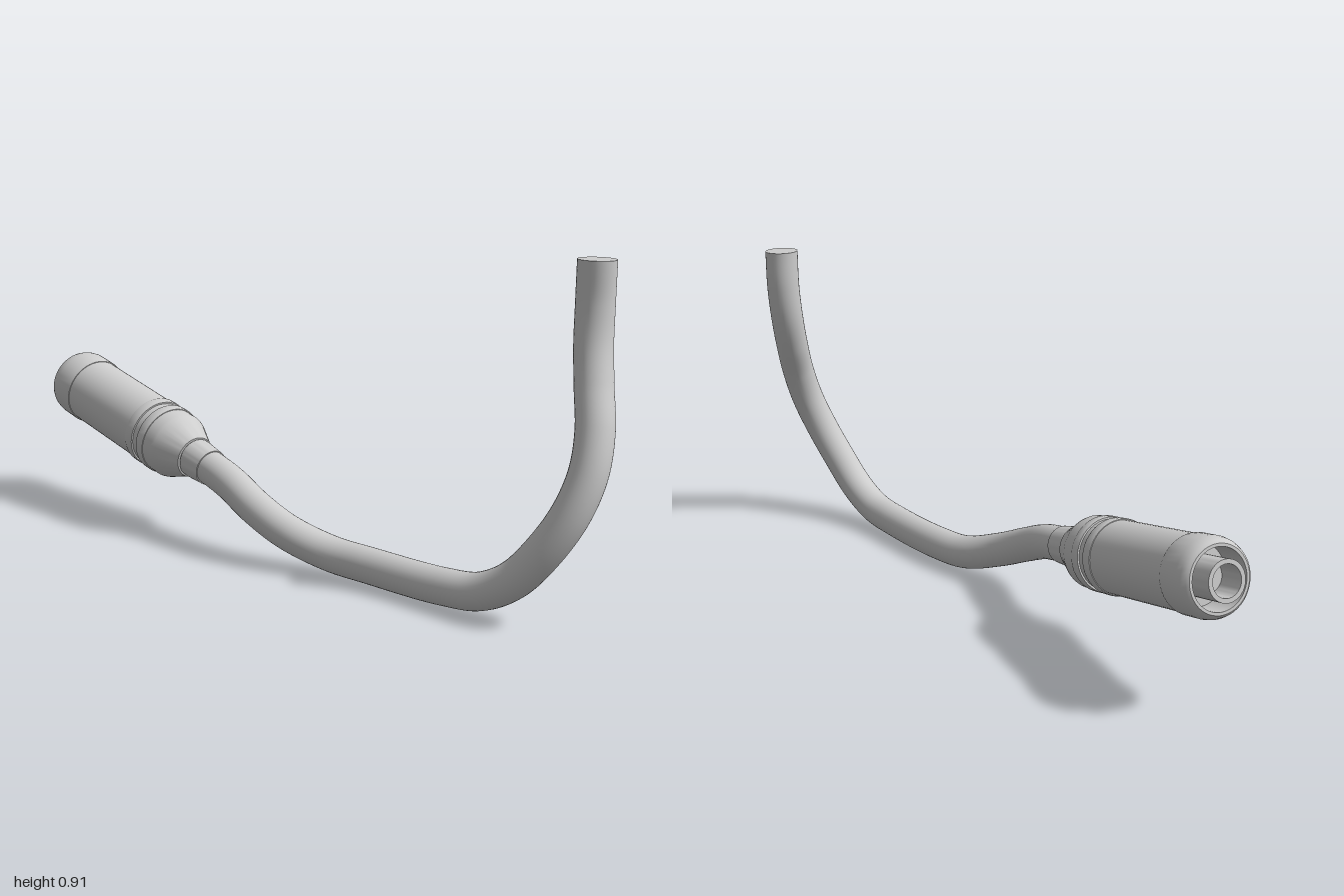
import * as THREE from 'three';
import { toCreasedNormals } from 'three/addons/utils/BufferGeometryUtils.js';

export function createModel() {
  const model = new THREE.Group();
  model.name = 'cableWithConnector';
  const grey = new THREE.MeshStandardMaterial({ color: 0xcccccc });
  grey.name = 'light grey';

  // Connector: lathed parts sharing one axis, from the open tip to the cable
  const tip = new THREE.Vector3(-0.985, 0.379, 0.2);
  const neckEnd = new THREE.Vector3(-0.233, 0.225, 0.174);
  const axis = neckEnd.clone().sub(tip).normalize();
  const connector = new THREE.Group();
  connector.name = 'connector';
  connector.position.copy(tip);
  connector.quaternion.setFromUnitVectors(new THREE.Vector3(0, 1, 0), axis);
  model.add(connector);

  // Profiles are [radius, distance from the tip]
  const turned = (name, profile) => {
    const points = profile.map(([r, t]) => new THREE.Vector2(r, t));
    const geometry = toCreasedNormals(new THREE.LatheGeometry(points, 48), 0.6);
    const mesh = new THREE.Mesh(geometry, grey);
    mesh.name = name;
    connector.add(mesh);
  };

  turned('innerPlug', [[0, 0.08], [0.042, 0.08], [0.042, 0], [0.054, 0], [0.054, 0.13]]);
  turned('endCap', [
    [0.05, 0.12], [0.08, 0.12], [0.08, 0.03], [0.088, 0.03], [0.095, 0.036],
    [0.101, 0.05], [0.104, 0.068], [0.104, 0.132], [0.102, 0.138], [0.097, 0.138],
  ]);
  turned('barrel', [[0.09, 0.136], [0.1, 0.136], [0.1, 0.47], [0.09, 0.47]]);
  // Grip rings separated by shallow grooves
  turned('gripRings', [
    [0.09, 0.466], [0.102, 0.466], [0.104, 0.472], [0.104, 0.495], [0.102, 0.5],
    [0.097, 0.5], [0.097, 0.525], [0.102, 0.525], [0.104, 0.53], [0.104, 0.553],
    [0.102, 0.558], [0.09, 0.558],
  ]);
  turned('taperedCollar', [
    [0.09, 0.556], [0.1, 0.556], [0.1, 0.595], [0.097, 0.605], [0.064, 0.68],
    [0.062, 0.688], [0.045, 0.688],
  ]);
  turned('strainRelief', [
    [0.045, 0.68], [0.055, 0.68], [0.055, 0.692], [0.058, 0.692],
    [0.058, 0.705], [0.053, 0.769], [0.045, 0.769],
  ]);

  // Bent cable, running from inside the strain relief to the upright end
  const inside = neckEnd.clone().addScaledVector(axis, -0.08);
  const path = [
    inside, neckEnd,
    ...[
      [-0.13, 0.2, 0.174], [-0.01, 0.152, 0.17], [0.1, 0.104, 0.143],
      [0.22, 0.064, 0.09], [0.35, 0.055, 0.056], [0.6, 0.055, 0.016],
      [0.72, 0.069, -0.006], [0.81, 0.118, -0.031], [0.878, 0.2, -0.063],
      [0.928, 0.3, -0.104], [0.944, 0.4, -0.145], [0.928, 0.5, -0.181],
      [0.89, 0.6, -0.213], [0.861, 0.7, -0.237], [0.85, 0.8, -0.25], [0.85, 0.911, -0.252],
    ].map((p) => new THREE.Vector3(...p)),
  ];
  const curve = new THREE.CatmullRomCurve3(path, false, 'centripetal');
  const cable = new THREE.Mesh(new THREE.TubeGeometry(curve, 160, 0.05, 32), grey);
  cable.name = 'cable';
  model.add(cable);

  // Flat cut at the upright end
  const cut = new THREE.Mesh(new THREE.CircleGeometry(0.05, 32), grey);
  cut.name = 'cableEnd';
  cut.position.copy(curve.getPoint(1));
  cut.quaternion.setFromUnitVectors(new THREE.Vector3(0, 0, 1), curve.getTangent(1));
  model.add(cut);

  return model;
}
